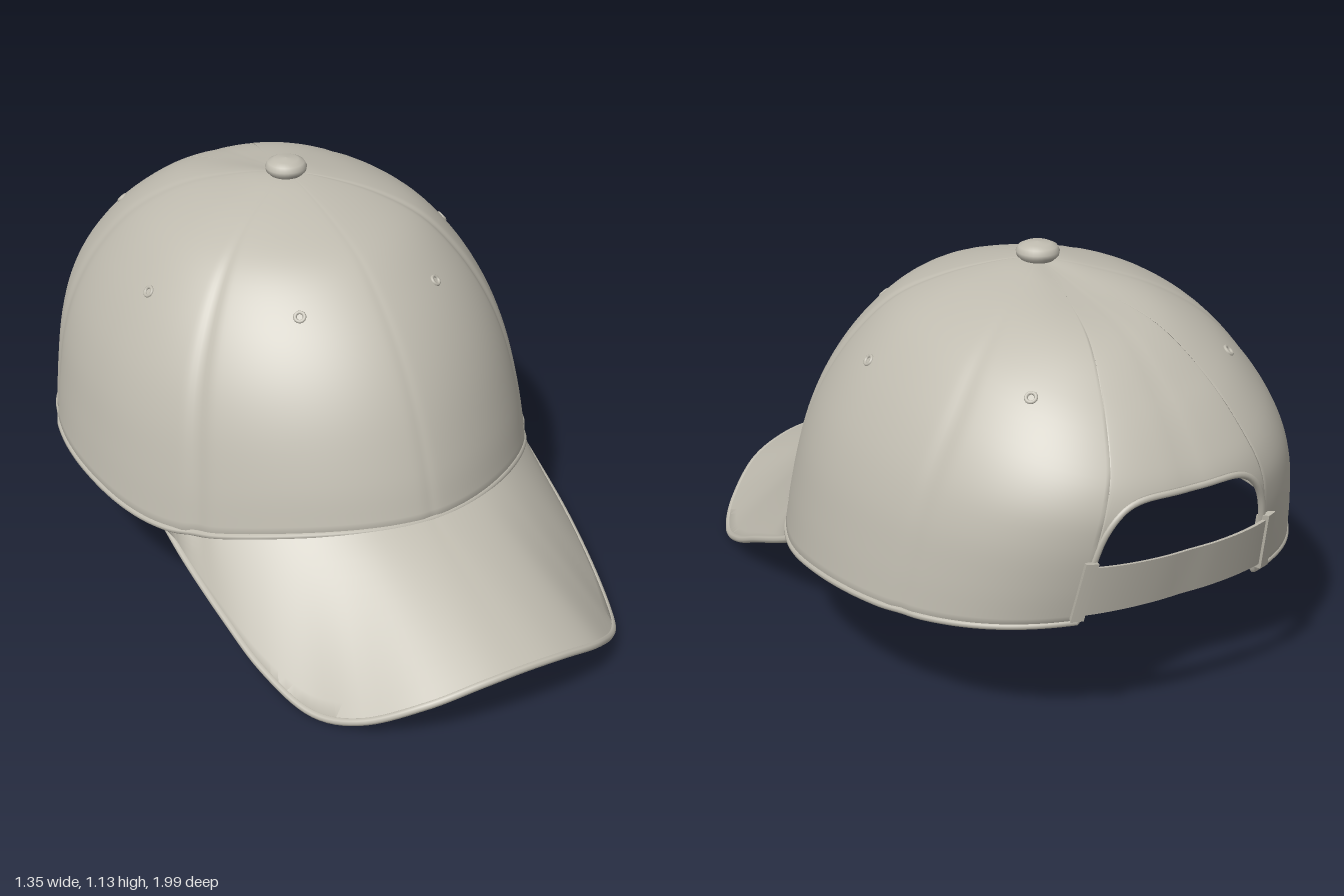
import * as THREE from 'three';
import { toCreasedNormals } from 'three/addons/utils/BufferGeometryUtils.js';

const RAD = Math.PI / 180;
const CENTRE_Z = -0.27;
const OPEN_HALF = 21; // half angle of the back opening, in degrees
const V = (x, y, z) => new THREE.Vector3(x, y, z);

// Crown profiles from rim to apex, as [radius, height]
const profile = (pts) => new THREE.CatmullRomCurve3(pts.map(([r, y]) => V(r, y, 0)), false, 'catmullrom', 0.5);
const frontProfile = profile([[0.8, 0.37], [0.765, 0.5], [0.7, 0.66], [0.62, 0.79], [0.52, 0.9], [0.4, 0.99], [0.25, 1.045], [0.1, 1.08], [0, 1.09]]);
const sideProfile = profile([[0.67, 0.33], [0.65, 0.46], [0.62, 0.6], [0.57, 0.73], [0.49, 0.86], [0.385, 0.97], [0.25, 1.04], [0.1, 1.08], [0, 1.09]]);
const backProfile = profile([[0.66, 0.355], [0.69, 0.46], [0.715, 0.57], [0.72, 0.66], [0.685, 0.75], [0.58, 0.88], [0.42, 1.0], [0.19, 1.055], [0, 1.09]]);
const seams = [[0, 0.003], [55, 0.012], [115, 0.006], [180, 0.004]];

// Point on the crown at an angle (0 = front, 90 = left) and v from rim to apex
function surf(deg, v, inset = 0) {
  const a = deg > 180 ? deg - 360 : deg;
  const s = Math.sin(a * RAD), c = Math.cos(a * RAD);
  const side = sideProfile.getPoint(v);
  const end = (c > 0 ? frontProfile : backProfile).getPoint(v);
  const e = 2 / (2.1 - 0.3 * c); // rounder front, squarer back
  let dent = 0;
  for (const [at, depth] of seams) dent += depth * Math.exp(-(((Math.abs(a) - at) / 2.2) ** 2));
  const k = 1 - dent - inset * 1.4;
  const dip = 0.045 * Math.exp(-(((Math.abs(a) - 63) / 22) ** 2)) * (1 - v) ** 3;
  return V(
    Math.sign(s) * Math.abs(s) ** e * side.x * k,
    end.y * c * c + side.y * s * s - dip - (inset + dent * 0.6 * (1 - v)) * v,
    CENTRE_Z + Math.sign(c) * Math.abs(c) ** e * end.x * k
  );
}

// Lower edge of the crown: 0 at the rim, raised over the back opening
function edgeV(deg) {
  const q = Math.abs(180 - Math.abs(deg)) / OPEN_HALF;
  return q < 1 ? 0.42 * (1 - q ** 4) ** 0.25 : 0;
}

// Skin a row of closed cross-sections
function loft(sections, closed) {
  const n = sections[0].length, m = sections.length, index = [];
  for (let i = 0; i < (closed ? m : m - 1); i++) {
    for (let j = 0; j < n; j++) {
      const i2 = (i + 1) % m, j2 = (j + 1) % n;
      const a = i * n + j, b = i2 * n + j, c = i2 * n + j2, d = i * n + j2;
      index.push(a, b, c, a, c, d);
    }
  }
  const g = new THREE.BufferGeometry().setFromPoints(sections.flat());
  g.setIndex(index);
  g.computeVertexNormals();
  return g;
}

// Curved slab that follows the crown, with capped ends
function band(a0, a1, v0, v1, inner, outer, steps) {
  const sections = [];
  for (let i = 0; i <= steps; i++) {
    const a = a0 + ((a1 - a0) * i) / steps;
    sections.push([surf(a, v0, -outer), surf(a, v1, -outer), surf(a, v1, -inner), surf(a, v0, -inner)]);
  }
  const cap = (q) => {
    const mid = V(0, 0, 0);
    q.forEach((p) => mid.addScaledVector(p, 0.25));
    return q.map(() => mid.clone());
  };
  sections.unshift(cap(sections[0]));
  sections.push(cap(sections[sections.length - 1]));
  return toCreasedNormals(loft(sections, false), 0.7);
}

export function createModel() {
  const group = new THREE.Group();
  const cloth = new THREE.MeshStandardMaterial({ color: 0xc0bcb0, side: THREE.DoubleSide });
  cloth.name = 'warm grey cloth';
  const add = (name, geometry) => {
    const mesh = new THREE.Mesh(geometry, cloth);
    mesh.name = name;
    group.add(mesh);
    return mesh;
  };

  // Crown: outer and inner skins in one closed loft, columns packed at the opening
  const angles = [];
  const span = 180 - OPEN_HALF;
  for (let i = 0; i <= 260; i++) angles.push(-span + (2 * span * i) / 260);
  for (let j = 1; j < 30; j++) {
    const a = 180 - OPEN_HALF * Math.cos((Math.PI * j) / 30);
    angles.push(a > 180 ? a - 360 : a);
  }
  const rows = 40;
  add('crown', loft(angles.map((a) => {
    const v0 = edgeV(a), section = [];
    for (let j = 0; j <= rows; j++) section.push(surf(a, v0 + (1 - v0) * (j / rows)));
    for (let j = rows; j >= 0; j--) section.push(surf(a, v0 + (1 - v0) * (j / rows), 0.012));
    return section;
  }), true));

  // Rolled hem round the rim and the back opening
  const hemPath = angles.filter((a, i) => i > 258 || i < 3 || i % 4 === 0).map((a) => surf(a, edgeV(a), 0.005));
  add('hem', new THREE.TubeGeometry(new THREE.CatmullRomCurve3(hemPath, true), 360, 0.01, 8, true));

  // Brim: ruled between the front rim and a curved outer edge
  const half = [[0.575, 0.28, 0.02], [0.57, 0.21, 0.17], [0.555, 0.13, 0.36], [0.53, 0.055, 0.53], [0.48, 0.005, 0.7], [0.4, 0.03, 0.83], [0.27, 0.1, 0.935], [0.13, 0.143, 0.978]];
  const right = half.map(([x, y, z]) => V(-x, y + 0.012, z));
  const left = half.map(([x, y, z]) => V(x, y + 0.012, z)).reverse();
  const brimEdge = new THREE.CatmullRomCurve3([...right, V(0, 0.167, 0.988), ...left], false, 'catmullrom', 0.5);
  const brimSections = [];
  for (let i = 0; i <= 96; i++) {
    const outer = brimEdge.getPoint(i / 96);
    const inner = surf(66 * (i / 48 - 1), 0, 0.008);
    const top = [], bottom = [];
    for (let j = 0; j <= 12; j++) {
      const p = outer.clone().lerp(inner, j / 12);
      top.push(p.clone().setY(p.y + 0.009));
      bottom.unshift(p.clone().setY(p.y - 0.009));
    }
    brimSections.push([...top, ...bottom]);
  }
  add('brim', toCreasedNormals(loft(brimSections, false), 0.7));
  add('brimPiping', new THREE.TubeGeometry(brimEdge, 120, 0.011, 8, false));

  // Top button
  const buttonShape = [[0, -0.02], [0.045, -0.018], [0.057, -0.006], [0.059, 0.006], [0.052, 0.019], [0.035, 0.027], [0, 0.031]];
  const button = add('topButton', new THREE.LatheGeometry(buttonShape.map(([x, y]) => new THREE.Vector2(x, y)), 32));
  button.position.set(0, 1.103, CENTRE_Z);

  // Stitched eyelets, ringed outside and backed inside
  for (const mirror of [-1, 1]) {
    for (const [deg, v] of [[28, 0.5], [82, 0.51], [134, 0.6]]) {
      const a = deg * mirror;
      const p = surf(a, v), q = surf(a, v, 0.013);
      const across = surf(a + 1, v).sub(surf(a - 1, v));
      const up = surf(a, v + 0.01).sub(surf(a, v - 0.01));
      const normal = across.cross(up).normalize();
      const ring = add('eyelet', new THREE.TorusGeometry(0.013, 0.005, 8, 20));
      ring.position.copy(p);
      ring.quaternion.setFromUnitVectors(V(0, 0, 1), normal);
      const back = add('eyeletBacking', new THREE.CylinderGeometry(0.022, 0.022, 0.01, 20));
      back.position.copy(q);
      back.quaternion.setFromUnitVectors(V(0, 1, 0), normal);
    }
  }

  // Adjusting strap across the opening, with an end tab on each side
  add('backStrap', band(180 - 23, 180 + 23, 0.03, 0.19, 0.002, 0.014, 24));
  for (const a of [157, 200]) add('strapTab', band(a, a + 3, 0.015, 0.205, -0.016, 0.022, 3));

  return group;
}
